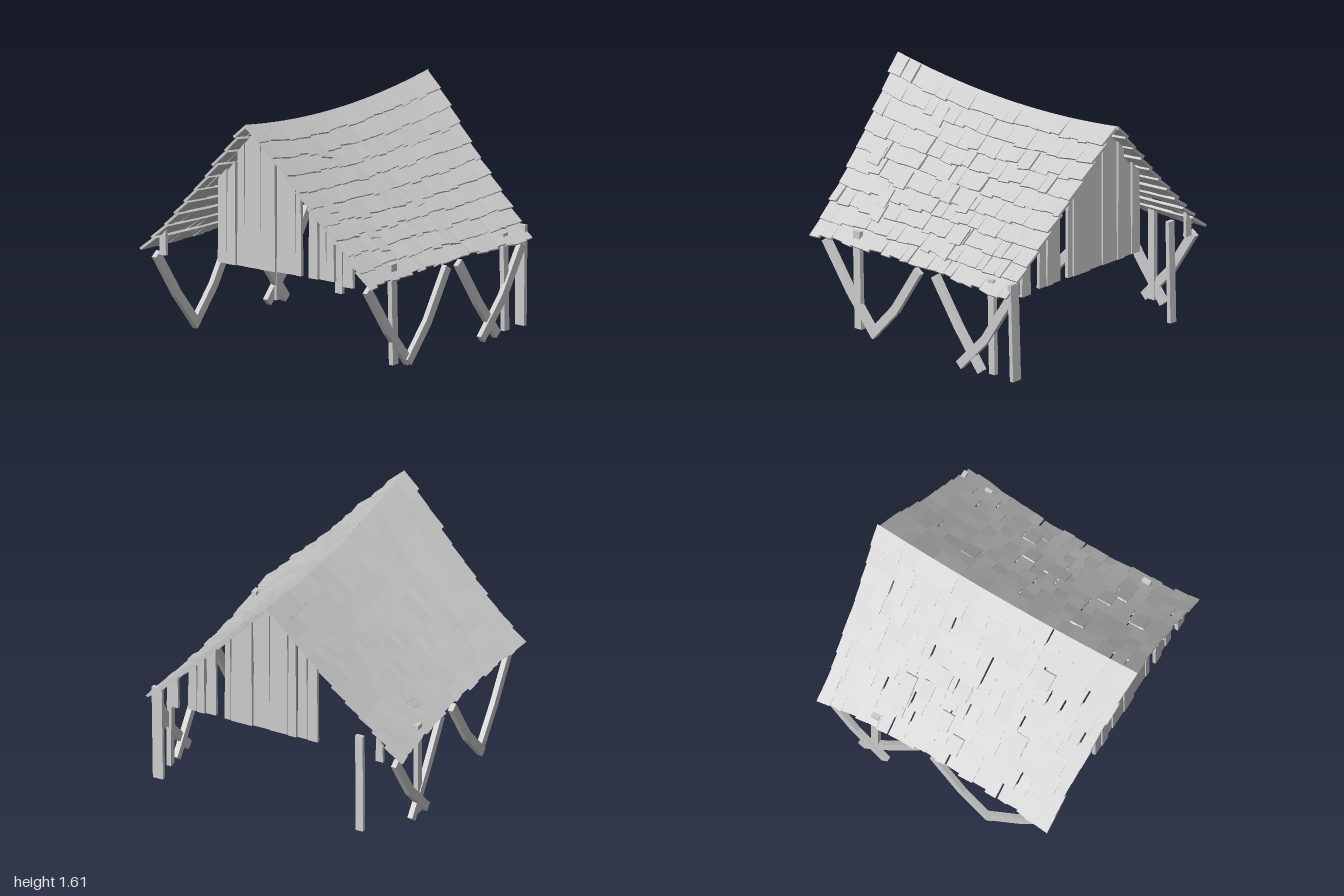
import * as THREE from 'three';
import { mergeGeometries } from 'three/addons/utils/BufferGeometryUtils.js';

const material = new THREE.MeshStandardMaterial({ color: 0xcccccc, flatShading: true });

function seeded(seed) {
  return () => {
    seed = (seed * 16807) % 2147483647;
    return seed / 2147483647;
  };
}

function addMesh(parent, name, geometry) {
  const mesh = new THREE.Mesh(geometry, material);
  mesh.name = name;
  parent.add(mesh);
  return mesh;
}

// Sagging roof slope: u runs along the ridge (-1..1), v from ridge (0) to eave (1), t is height above it
function roofPoint(u, v, t, target) {
  const half = 0.885 + 0.11 * Math.pow(Math.max(1 - v, 0), 1.6);
  const ridge = 1.515 + 0.075 * u * u;
  const y = ridge + (0.605 - ridge) * v - 0.02 * Math.sin(Math.PI * v);
  const z = v * (0.875 + 0.05 * u * u);
  // at the ridge the tile rises straight up so both slopes meet
  return v <= 0 ? target.set(u * half, y + t * 1.4, 0)
    : target.set(u * half, y + 0.69 * t, z + 0.72 * t);
}

// One shingle: a box bent onto the slope, its lower edge lifted
function shingle(u0, u1, v0, v1, lift, base, skew, thick = 0.018) {
  const g = new THREE.BoxGeometry(1, 1, 1);
  const p = g.attributes.position;
  const point = new THREE.Vector3();
  for (let i = 0; i < p.count; i++) {
    const right = p.getX(i) > 0, low = p.getY(i) < 0, top = p.getZ(i) > 0;
    const u = (right ? u1 : u0) + (low ? skew * 0.5 : 0);
    const v = low ? v1 + (right ? skew : -skew) : v0;
    roofPoint(u, v, base + (low ? lift : 0) + (top ? thick : 0), point);
    p.setXYZ(i, point.x, point.y, point.z);
  }
  g.computeVertexNormals();
  return g;
}

function roofSlope(seed) {
  const rand = seeded(seed);
  const rows = 10, tiles = [];
  for (let r = 0; r < rows; r++) {
    let u = -1 + (rand() - 0.5) * 0.012;
    while (u < 0.97) {
      let next = u + 0.075 + rand() * 0.05;
      if (next > 0.94) next = 1 + (rand() - 0.5) * 0.012;
      const gap = rand() < 0.1 ? 0.012 : -0.002;
      const v0 = r === 0 ? 0 : r / rows - 0.018;
      const v1 = (r + 1) / rows + (rand() - 0.5) * 0.018;
      tiles.push(shingle(u, next - gap, v0, v1, 0.014 + rand() * 0.014, 0, (rand() - 0.5) * 0.008));
      u = next;
    }
  }
  // loose patch shingles lying over the courses
  for (let i = 0; i < 11; i++) {
    const u = -0.85 + rand() * 1.65, v = 0.12 + rand() * 0.72;
    tiles.push(shingle(u, u + 0.1, v, v + 0.11, 0.012, 0.024, (rand() - 0.5) * 0.02, 0.014));
  }
  return mergeGeometries(tiles);
}

// Upright gable board with its top cut to the roof pitch; z0 > z1
function gableBoard(z0, z1, bottom, drop = 0) {
  const top = (z) => 1.565 - 1.05 * Math.abs(z) - drop;
  const shape = new THREE.Shape();
  shape.moveTo(-z0, bottom);
  shape.lineTo(-z1, bottom);
  shape.lineTo(-z1 - 0.004, top(z1));
  if (z0 > 0 && z1 < 0) shape.lineTo(0, top(0));
  shape.lineTo(-z0 + 0.004, top(z0));
  shape.closePath();
  const g = new THREE.ExtrudeGeometry(shape, { depth: 0.025, bevelEnabled: false });
  return g.rotateY(Math.PI / 2);
}

// Bent flat brace through three centre points in the xy plane
function braceGeometry(points) {
  const w = 0.031;
  const pts = points.map(([x, y]) => new THREE.Vector2(x, y));
  const left = [], right = [];
  pts.forEach((p, i) => {
    const a = pts[Math.max(i - 1, 0)], b = pts[Math.min(i + 1, pts.length - 1)];
    const d = b.clone().sub(a).normalize();
    left.push(new THREE.Vector2(p.x - d.y * w, p.y + d.x * w));
    right.push(new THREE.Vector2(p.x + d.y * w, p.y - d.x * w));
  });
  const shape = new THREE.Shape([...left, ...right.reverse()]);
  return new THREE.ExtrudeGeometry(shape, { depth: 0.036, bevelEnabled: false }).translate(0, 0, -0.018);
}

export function createModel() {
  const model = new THREE.Group();
  model.name = 'openShed';

  // Shingled roof slopes
  const roof = new THREE.Group();
  roof.name = 'roof';
  model.add(roof);
  addMesh(roof, 'frontRoofSlope', roofSlope(417));
  addMesh(roof, 'backRoofSlope', roofSlope(9241)).rotation.y = Math.PI;

  // Boards closing both gables, with gaps
  const boards = [
    [0.79, 0.705, 0.6], [0.63, 0.565, 0.62], [0.56, 0.505, 0.62], [0.5, 0.425, 0.62],
    [0.36, 0.315, 0.62], [0.31, 0.155, 0.62], [0.15, 0.032, 0.62], [0.028, -0.105, 0.62],
    [-0.11, -0.17, 0.62], [-0.175, -0.245, 0.62, 0.06], [-0.25, -0.325, 0.62, 0.04],
    [-0.755, -0.81, 0.6],
  ];
  for (const side of [1, -1]) {
    const gable = new THREE.Group();
    gable.name = side > 0 ? 'leftGable' : 'rightGable';
    boards.forEach((b, i) => {
      const step = (i % 3) * 0.006;
      addMesh(gable, 'gableBoard', gableBoard(...b)).position.x = side * 0.865 - 0.0125 + step;
    });
    model.add(gable);
  }

  // Crooked posts: x, z, width, depth, height, leans
  const posts = [
    [-0.535, 0.86, 0.06, 0.034, 0.68, 0.025, 0],
    [0.68, 0.86, 0.052, 0.034, 0.66, 0.02, 0],
    [0.87, 0.855, 0.03, 0.075, 0.68, 0.012, 0.02],
    [0.87, -0.632, 0.03, 0.055, 0.71, 0.012, 0.012],
    [0.487, -0.86, 0.055, 0.034, 0.66, 0, 0],
  ];
  for (const [x, z, w, d, h, leanX, leanZ] of posts) {
    const post = addMesh(model, 'post', new THREE.BoxGeometry(w, h, d));
    post.position.set(x, 0.035 + h / 2, z);
    post.rotation.set(leanZ, 0, leanX);
  }

  // Bent braces along both eaves: a V and a crossed pair
  const braces = [
    [[-0.825, 0.59], [-0.6, 0.28], [-0.378, 0.027]],
    [[0.028, 0.59], [-0.185, 0.26], [-0.4, 0.027]],
    [[0.165, 0.59], [0.375, 0.29], [0.587, 0.027]],
    [[0.845, 0.59], [0.635, 0.27], [0.4, 0.03]],
  ];
  for (const side of [1, -1]) {
    braces.forEach((points, i) => {
      const brace = addMesh(model, side > 0 ? 'frontBrace' : 'backBrace', braceGeometry(points));
      brace.position.z = side * (0.865 + (i % 2) * 0.012);
    });
  }
  return model;
}
